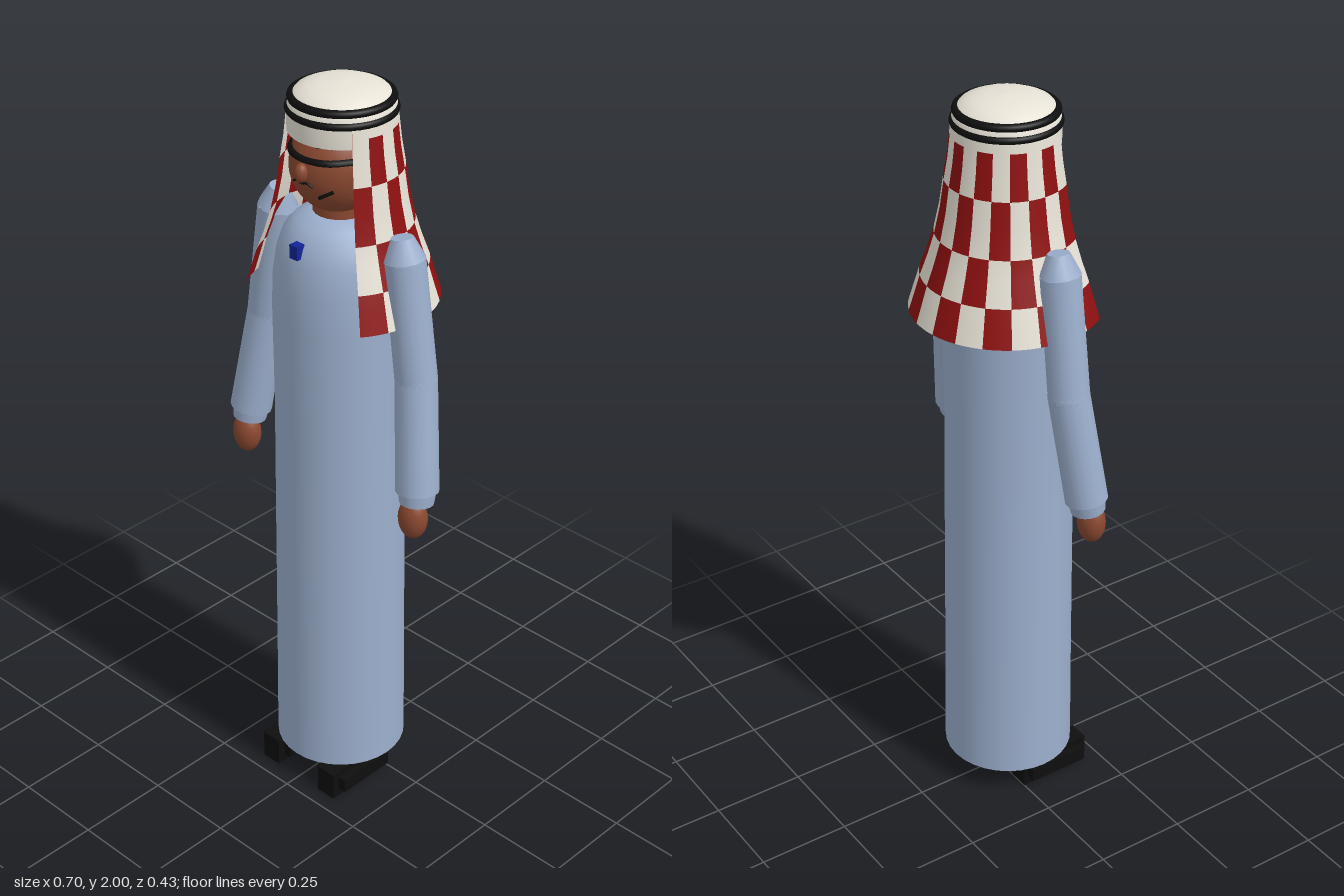
import * as THREE from 'three';

const mat = (name, color, side = THREE.FrontSide) => {
  const m = new THREE.MeshStandardMaterial({ color, side });
  m.name = name;
  return m;
};
const V = (x, y, z) => new THREE.Vector3(x, y, z);
const profile = (pts) => pts.map(([r, y]) => new THREE.Vector2(r, y));

export function createModel() {
  const root = new THREE.Group();
  root.name = 'robedMan';
  const robeMat = mat('robeBlue', 0x9cafcd, THREE.DoubleSide);
  const white = mat('clothWhite', 0xe9e4d8, THREE.DoubleSide);
  const red = mat('clothRed', 0x8e1010, THREE.DoubleSide);
  const skin = mat('skin', 0x8a4830);
  const black = mat('black', 0x0e0e0e);
  const blue = mat('badgeBlue', 0x14249a);

  const add = (name, geo, material, pos = [0, 0, 0], parent = root) => {
    const mesh = new THREE.Mesh(geo, material);
    mesh.name = name;
    mesh.position.set(...pos);
    parent.add(mesh);
    return mesh;
  };
  // tapered cylinder between two points, r1 at a and r2 at b
  const limb = (name, a, b, r1, r2, material, parent, sides = 16) => {
    const d = b.clone().sub(a);
    const mesh = add(name, new THREE.CylinderGeometry(r2, r1, d.length(), sides), material,
      a.clone().add(b).multiplyScalar(0.5).toArray(), parent);
    mesh.quaternion.setFromUnitVectors(V(0, 1, 0), d.normalize());
    return mesh;
  };
  const ball = (name, c, s, material, parent) => {
    const mesh = add(name, new THREE.SphereGeometry(1, 20, 14), material, c, parent);
    mesh.scale.set(...s);
    return mesh;
  };

  // long robe, open at the hem
  add('robe', new THREE.LatheGeometry(profile([
    [0.174, 0.085], [0.171, 0.4], [0.168, 0.8], [0.165, 1.15], [0.167, 1.4], [0.165, 1.5],
    [0.155, 1.57], [0.138, 1.62], [0.108, 1.655], [0.07, 1.672], [0.04, 1.674],
  ]), 32), robeMat, [0, 0, 0.037]);
  add('badge', new THREE.BoxGeometry(0.026, 0.036, 0.025), blue, [0, 1.61, 0.183]);

  // arms, legs and shoes, mirrored
  for (const s of [1, -1]) {
    const arm = new THREE.Group();
    arm.name = s > 0 ? 'leftArm' : 'rightArm';
    root.add(arm);
    const shoulder = V(s * 0.214, 1.61, 0.036), elbow = V(s * 0.257, 1.3, 0.036);
    const wrist = V(s * 0.296, 1.01, 0.068);
    limb('shoulderCap', shoulder, V(s * 0.204, 1.665, 0.036), 0.052, 0.028, robeMat, arm, 10);
    limb('upperSleeve', elbow, shoulder, 0.053, 0.051, robeMat, arm);
    ball('elbow', elbow.toArray(), [0.053, 0.053, 0.053], robeMat, arm);
    limb('lowerSleeve', wrist, elbow, 0.055, 0.053, robeMat, arm);
    limb('cuff', V(s * 0.298, 0.978, 0.072), wrist, 0.044, 0.048, robeMat, arm);
    ball('hand', [s * 0.297, 0.937, 0.084], [0.04, 0.057, 0.035], skin, arm);

    const leg = new THREE.Group();
    leg.name = s > 0 ? 'leftLeg' : 'rightLeg';
    root.add(leg);
    limb('trouserLeg', V(s * 0.1, 0.07, 0.05), V(s * 0.085, 0.7, 0.04), 0.045, 0.06, robeMat, leg);
    add('shoeCore', new THREE.BoxGeometry(0.058, 0.08, 0.205), black, [s * 0.105, 0.04, 0.103], leg);
    add('shoeSides', new THREE.BoxGeometry(0.102, 0.04, 0.17), black, [s * 0.105, 0.042, 0.098], leg);
  }

  // neck, head and face
  add('neck', new THREE.CylinderGeometry(0.065, 0.068, 0.1, 20), skin, [0, 1.69, 0.035]);
  const headGeo = new THREE.SphereGeometry(1, 28, 20);
  headGeo.scale(0.117, 0.125, 0.125);
  add('head', headGeo, skin, [0, 1.8, 0.038]);
  ball('nose', [0, 1.808, 0.165], [0.017, 0.024, 0.018], skin, root);
  // facial strokes follow the curve of the head
  const stroke = (name, pts, r) => {
    const path = new THREE.CatmullRomCurve3(pts.map(([x, y]) => {
      const k = 1 - (x / 0.117) ** 2 - ((y - 1.8) / 0.125) ** 2;
      return V(x, y, 0.04 + 0.125 * Math.sqrt(Math.max(k, 0)));
    }));
    add(name, new THREE.TubeGeometry(path, 16, r, 6), black);
  };
  stroke('eyeBand', [[-0.105, 1.841], [-0.06, 1.841], [0, 1.841], [0.06, 1.841], [0.105, 1.841]], 0.009);
  stroke('moustache', [[-0.032, 1.777], [-0.015, 1.785], [0, 1.781], [0.015, 1.785], [0.032, 1.777]], 0.003);
  stroke('cheekMark', [[0.04, 1.75], [0.056, 1.76], [0.075, 1.772]], 0.005);
  for (const s of [1, -1]) stroke('eyebrow', [[s * 0.025, 1.872], [s * 0.045, 1.875], [s * 0.065, 1.872]], 0.004);

  // checked headscarf: 15 columns, each row of the profile belongs to a check row
  const open = 54 * Math.PI / 180, columns = 15, per = 3;
  const scarfPts = [[0.243, 1.445], [0.229, 1.49], [0.214, 1.54], [0.194, 1.595], [0.177, 1.65],
    [0.162, 1.72], [0.152, 1.79], [0.142, 1.85], [0.136, 1.905], [0.131, 1.945]];
  const checkRow = [0, 0, 1, 1, 2, 2, 3, 3, 4];
  const scarf = new THREE.LatheGeometry(profile(scarfPts), columns * per, open, 2 * (Math.PI - open));
  for (let i = 0; i < columns * per; i++) {
    checkRow.forEach((row, j) => {
      const isRed = (Math.floor(i / per) + row) % 2 === 0 && row < 4;
      scarf.addGroup((i * checkRow.length + j) * 6, 6, isRed ? 1 : 0);
    });
  }
  add('headscarf', scarf, [white, red], [0, 0, 0.027]);
  add('scarfBrow', new THREE.LatheGeometry(profile([[0.132, 1.88], [0.133, 1.91], [0.131, 1.945]]),
    16, -open, 2 * open), white, [0, 0, 0.027]);
  add('scarfCrown', new THREE.LatheGeometry(profile([
    [0.131, 1.945], [0.126, 1.963], [0.112, 1.978], [0.085, 1.99], [0.05, 1.997], [0, 2],
  ]), 40), white, [0, 0, 0.027]);

  // double head cord
  for (const [r, y] of [[0.127, 1.936], [0.121, 1.964]]) {
    const ring = add('headCord', new THREE.TorusGeometry(r, 0.0105, 10, 40), black, [0, y, 0.027]);
    ring.rotation.x = Math.PI / 2;
  }
  return root;
}
